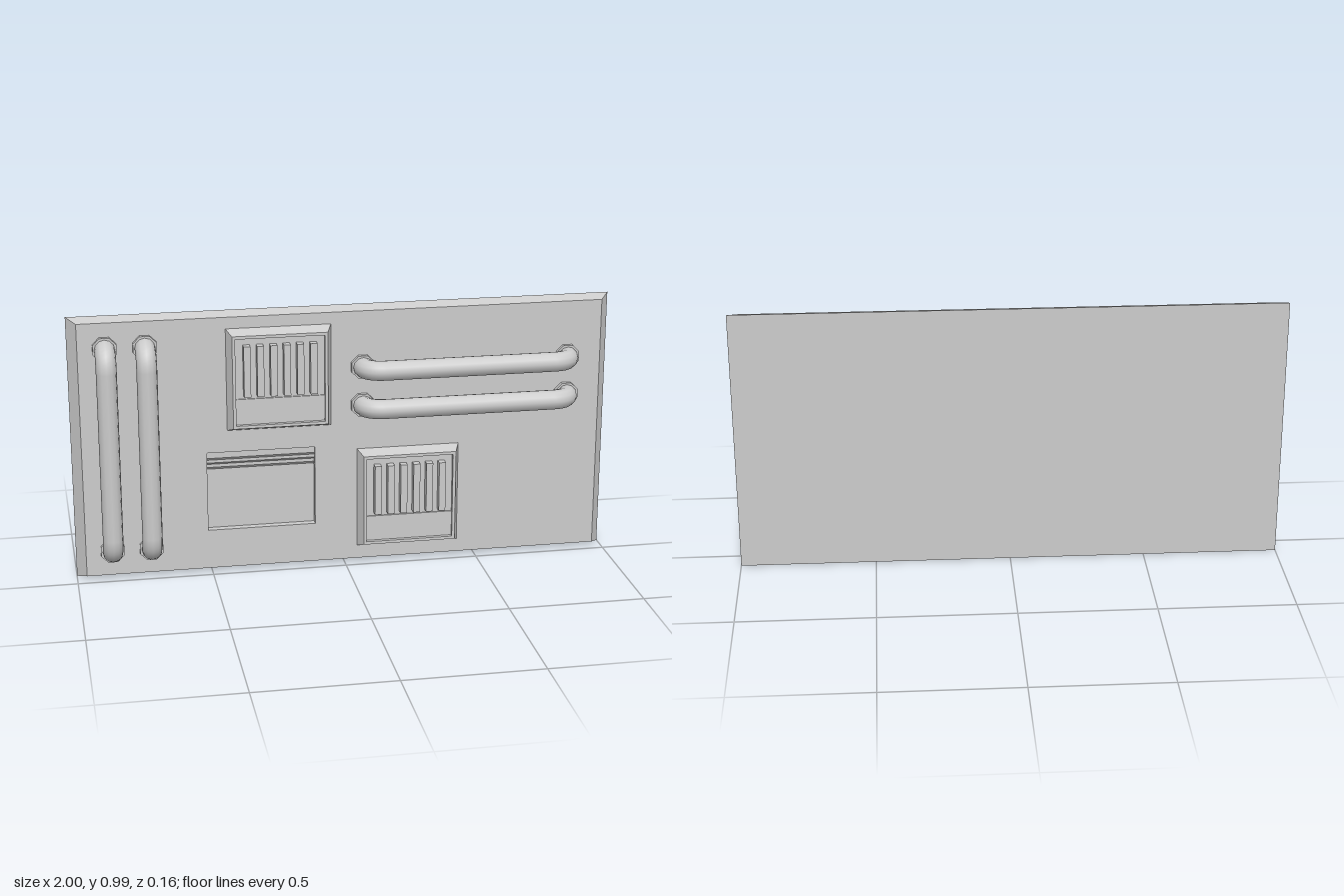
import * as THREE from 'three';

const grey = new THREE.MeshStandardMaterial({ color: 0xcccccc });

function addMesh(parent, geometry, name) {
  const mesh = new THREE.Mesh(geometry, grey);
  mesh.name = name;
  parent.add(mesh);
  return mesh;
}

// Flat-sided solid through rectangular rings [x0, x1, y0, y1, z], capped at both ends.
// Rings may step inwards and back again, which makes frames and recesses.
function rectLoft(rings) {
  const corners = rings.map(([x0, x1, y0, y1, z]) => [[x0, y0, z], [x1, y0, z], [x1, y1, z], [x0, y1, z]]);
  const pos = [];
  const quad = (a, b, c, d) => pos.push(...a, ...b, ...c, ...a, ...c, ...d);
  const first = corners[0], last = corners[corners.length - 1];
  quad(first[3], first[2], first[1], first[0]);
  for (let k = 0; k < corners.length - 1; k++) {
    for (let i = 0; i < 4; i++) {
      const j = (i + 1) % 4;
      quad(corners[k][i], corners[k][j], corners[k + 1][j], corners[k + 1][i]);
    }
  }
  quad(...last);
  const g = new THREE.BufferGeometry();
  g.setAttribute('position', new THREE.Float32BufferAttribute(pos, 3));
  g.computeVertexNormals();
  return g;
}

function box(parent, x0, x1, y0, y1, z0, z1, name) {
  const m = addMesh(parent, new THREE.BoxGeometry(x1 - x0, y1 - y0, z1 - z0), name);
  m.position.set((x0 + x1) / 2, (y0 + y1) / 2, (z0 + z1) / 2);
}

const FACE = -0.03;

// Bevelled square vent housing with a sunken face, upright bars and a lower plate
function makeVent(name) {
  const g = new THREE.Group();
  g.name = name;
  const ring = (h, z) => [-h, h, -h, h, z];
  addMesh(g, rectLoft([
    ring(0.192, FACE - 0.005), ring(0.192, FACE), ring(0.174, 0.015), ring(0.163, 0.015), ring(0.163, 0),
  ]), 'ventHousing');
  for (let i = 0; i < 6; i++) {
    const x = -0.125 + i * 0.0485;
    box(g, x + 0.003 - 0.0125, x + 0.003 + 0.0125, -0.052, 0.138, -0.002, 0.029, 'ventBar');
  }
  box(g, -0.163, 0.163, -0.153, -0.065, -0.002, 0.005, 'ventPlate');
  return g;
}

// Handle-like pipe along +x from 0 to length, bent back to the face at both ends
function makePipe(length, name) {
  const g = new THREE.Group();
  g.name = name;
  const v = (x, z) => new THREE.Vector3(x, 0, z);
  const top = 0.041, bend = 0.068;
  const path = new THREE.CurvePath();
  path.add(new THREE.LineCurve3(v(0, FACE), v(0, -0.012)));
  path.add(new THREE.QuadraticBezierCurve3(v(0, -0.012), v(0.008, top - 0.003), v(bend, top)));
  path.add(new THREE.LineCurve3(v(bend, top), v(length - bend, top)));
  path.add(new THREE.QuadraticBezierCurve3(v(length - bend, top), v(length - 0.008, top - 0.003), v(length, -0.012)));
  path.add(new THREE.LineCurve3(v(length, -0.012), v(length, FACE)));
  addMesh(g, new THREE.TubeGeometry(path, 90, 0.037, 12), 'pipe');
  // Octagonal flanges
  for (const x of [0, length]) {
    const f = new THREE.CylinderGeometry(0.046, 0.046, 0.016, 8).toNonIndexed();
    f.rotateY(Math.PI / 8);
    f.rotateX(Math.PI / 2);
    f.computeVertexNormals();
    addMesh(g, f, 'pipeFlange').position.set(x, 0, FACE + 0.007);
  }
  return g;
}

export function createModel() {
  const model = new THREE.Group();
  model.name = 'wallPanel';

  // Bevelled slab with a shallow rectangular recess
  const wx0 = -0.512, wx1 = -0.112, wy0 = 0.165, wy1 = 0.467, floor = -0.058;
  addMesh(model, rectLoft([
    [-1, 1, 0, 0.992, -0.078],
    [-0.965, 0.965, 0.015, 0.977, FACE],
    [wx0, wx1, wy0, wy1, FACE],
    [wx0, wx1, wy0, wy1, floor],
  ]), 'panel');

  // Stepped shutter folded up at the top of the recess
  const profile = new THREE.Shape([
    [floor, wy1], [floor, 0.395], [-0.051, 0.404], [-0.051, 0.416],
    [-0.043, 0.424], [-0.043, 0.435], [-0.036, 0.444], [-0.036, wy1],
  ].map(([z, y]) => new THREE.Vector2(-z, y)));
  const shutter = new THREE.ExtrudeGeometry(profile, { depth: wx1 - wx0, bevelEnabled: false });
  shutter.rotateY(Math.PI / 2);
  addMesh(model, shutter, 'shutter').position.x = wx0;

  // Vents
  const upperVent = makeVent('upperVent');
  upperVent.position.set(-0.243, 0.742, 0);
  const lowerVent = makeVent('lowerVent');
  lowerVent.position.set(0.238, 0.258, 0);
  model.add(upperVent, lowerVent);

  // Upright pipes on one side, level pipes on the other
  for (const x of [-0.868, -0.725]) {
    const p = makePipe(0.77, 'uprightPipe');
    p.rotation.z = Math.PI / 2;
    p.position.set(x, 0.112, 0);
    model.add(p);
  }
  for (const y of [0.768, 0.622]) {
    const p = makePipe(0.772, 'levelPipe');
    p.position.set(0.066, y, 0);
    model.add(p);
  }
  return model;
}
